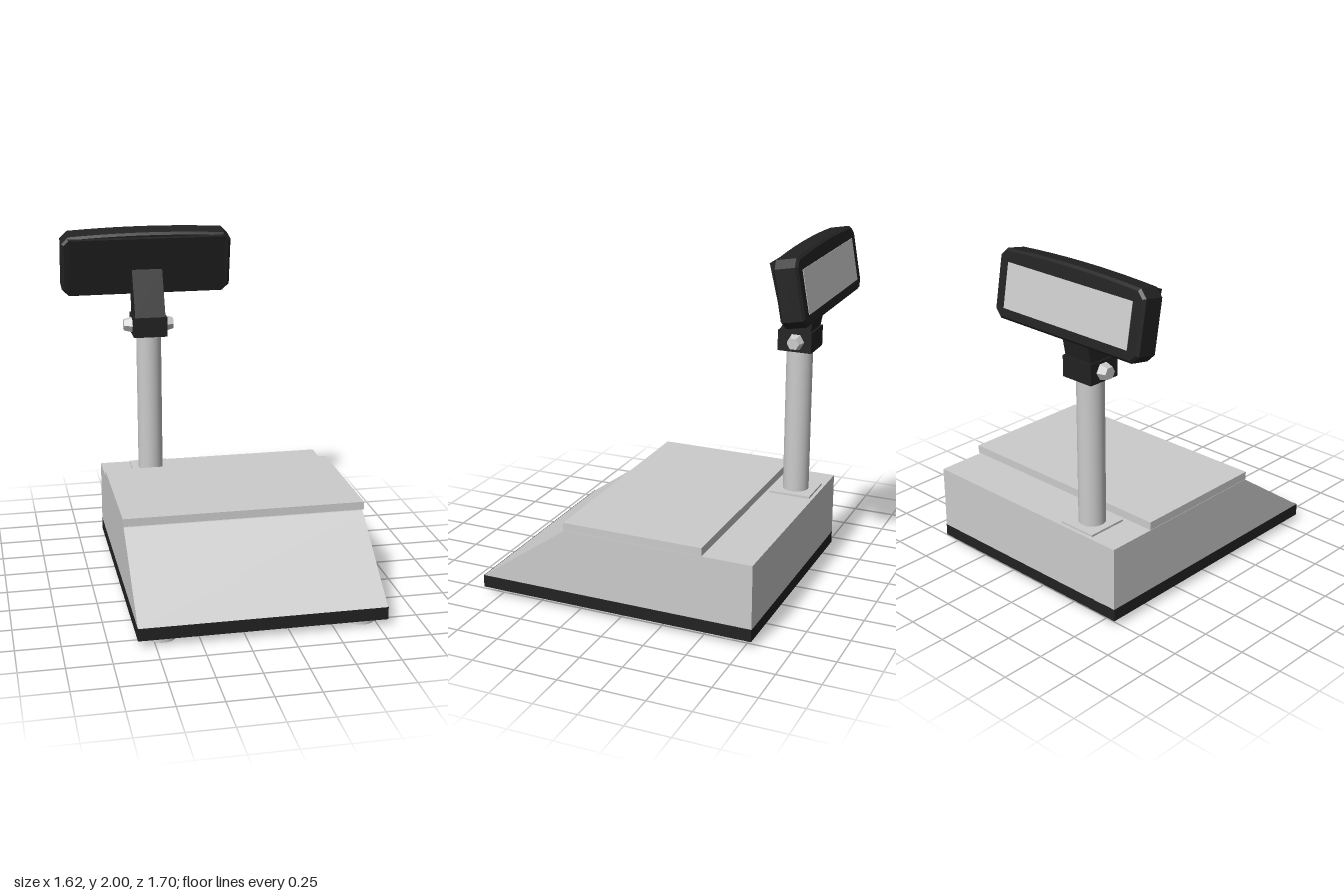
import * as THREE from 'three';

const grey = new THREE.MeshStandardMaterial({ color: 0xcccccc });
const black = new THREE.MeshStandardMaterial({ color: 0x222222 });

export function createModel() {
  const model = new THREE.Group();

  const add = (name, geometry, material, x = 0, y = 0, z = 0, parent = model) => {
    const mesh = new THREE.Mesh(geometry, material);
    mesh.name = name;
    mesh.position.set(x, y, z);
    parent.add(mesh);
    return mesh;
  };
  // Box given by its lower and upper limits
  const box = (name, material, [x0, x1], [y0, y1], [z0, z1], parent) =>
    add(name, new THREE.BoxGeometry(x1 - x0, y1 - y0, z1 - z0), material,
      (x0 + x1) / 2, (y0 + y1) / 2, (z0 + z1) / 2, parent);
  // Side profile of [z, y] points, extruded across x and centred
  const sideProfile = (points, width) => {
    const shape = new THREE.Shape(points.map(([z, y]) => new THREE.Vector2(z, y)));
    return new THREE.ExtrudeGeometry(shape, { depth: width, bevelEnabled: false })
      .rotateY(-Math.PI / 2).translate(width / 2, 0, 0);
  };

  // Scale body, base and weighing plate
  add('body', sideProfile([[0.85, 0.11], [-0.79, 0.11], [-0.79, 0.483], [0.32, 0.483]], 1.396), grey, 0.102);
  box('base', black, [-0.597, 0.802], [0.04, 0.112], [-0.79, 0.85]);
  box('plateSupport', grey, [-0.58, 0.785], [0.48, 0.49], [-0.49, 0.305]);
  box('weighingPlate', grey, [-0.6, 0.808], [0.488, 0.535], [-0.505, 0.32]);
  for (const x of [-0.45, 0.675])
    for (const z of [0.735, -0.635])
      add('foot', new THREE.CylinderGeometry(0.077, 0.077, 0.042, 24), grey, x, 0.021, z);

  // Display column
  const px = -0.297, pz = -0.647;
  box('columnFlange', grey, [px - 0.118, px + 0.118], [0.48, 0.495], [-0.77, -0.525]);
  add('column', new THREE.CylinderGeometry(0.076, 0.076, 0.88, 32), grey, px, 0.925, pz);
  box('hingeBlock', black, [px - 0.102, px + 0.102], [1.355, 1.475], [-0.747, -0.547]);
  for (const side of [-1, 1]) {
    const knob = new THREE.CylinderGeometry(0.036, 0.05, 0.05, 6).toNonIndexed();
    knob.computeVertexNormals();
    knob.rotateZ(-side * Math.PI / 2);
    add('hingeKnob', knob, grey, px + side * 0.127, 1.415, -0.655);
  }
  add('neck', sideProfile([[-0.555, 1.47], [-0.735, 1.47], [-0.757, 1.59], [-0.755, 1.72], [-0.67, 1.75]], 0.185),
    black, px);

  // Tilted display head, its screen facing the back
  const head = new THREE.Group();
  head.name = 'displayHead';
  head.position.set(px, 1.795, -0.745);
  head.rotation.x = 0.18;
  model.add(head);

  const b = 0.014, w = 0.515 - b, h = 0.196 - b, c = 0.035;
  const outline = new THREE.Shape();
  outline.moveTo(-w + c, -h);
  outline.lineTo(w - c, -h);
  outline.lineTo(w, -h + c);
  outline.lineTo(w, h - c - 0.015);
  outline.lineTo(w - c, h - 0.015);
  outline.quadraticCurveTo(0, h + 0.015, -w + c, h - 0.015);
  outline.lineTo(-w, h - c - 0.015);
  outline.lineTo(-w, -h + c);
  const shell = new THREE.ExtrudeGeometry(outline, {
    depth: 0.142 - 2 * b, bevelThickness: b, bevelSize: b, bevelSegments: 1, curveSegments: 10,
  }).translate(0, 0, -0.071 + b);
  add('displayHousing', shell, black, 0, 0, 0, head);
  add('frontCover', sideProfile([[0.06, -0.188], [0.073, -0.188], [0.094, 0.168], [0.06, 0.172]], 0.95),
    black, 0, 0, 0, head);
  box('screen', grey, [-0.443, 0.443], [-0.135, 0.112], [-0.074, -0.06], head);

  return model;
}
